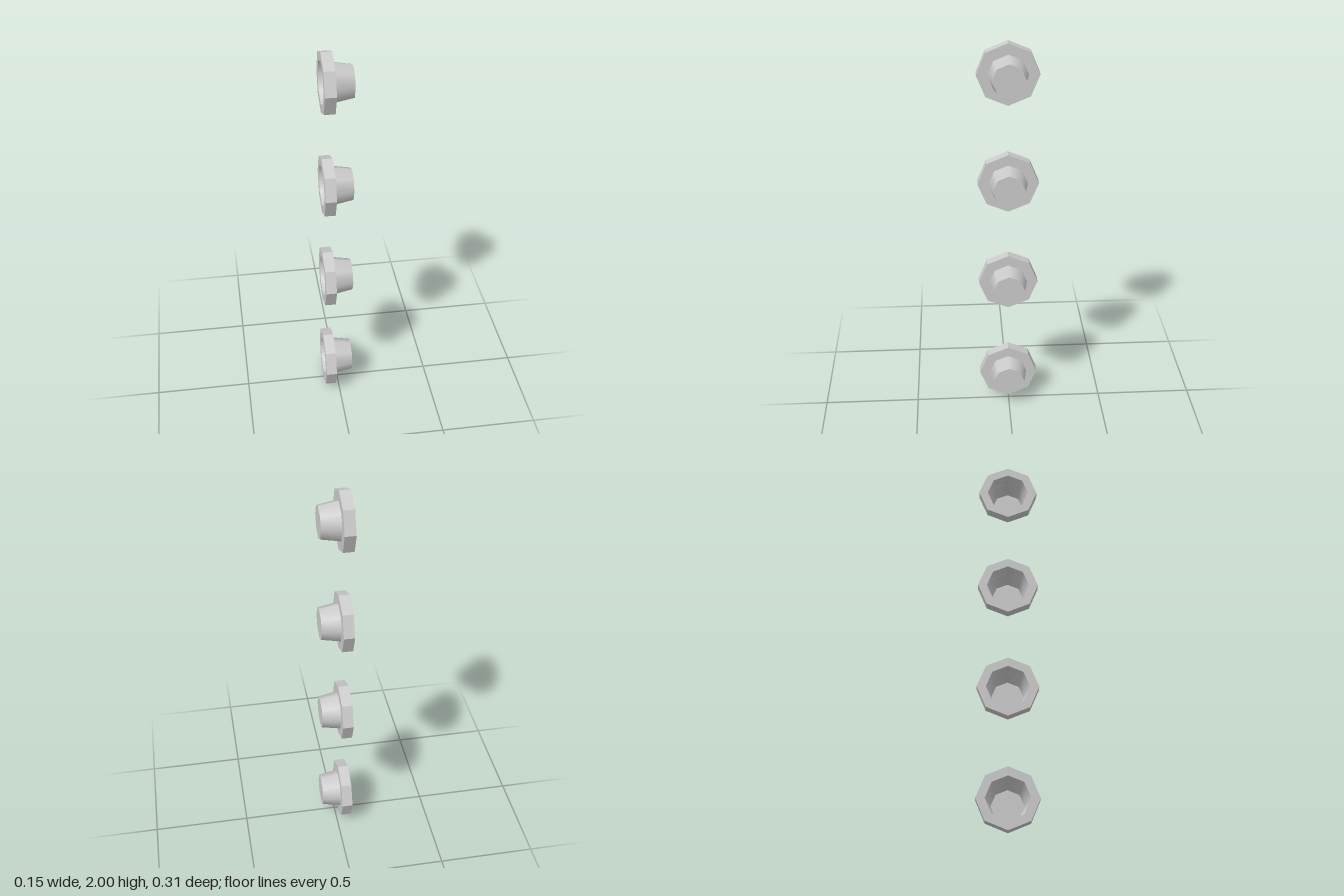
import * as THREE from 'three';

const SIDES = 8;
const BACK = -0.076, STEP = -0.021, TIP = 0.075; // positions along x
const FLANGE_R = 0.154, MOUTH_R = 0.109, COLLAR_R = 0.099, TIP_R = 0.082;

export function createModel() {
  const group = new THREE.Group();
  group.name = 'flangedCups';

  const flat = new THREE.MeshStandardMaterial({ color: 0xcccccc, flatShading: true, side: THREE.DoubleSide });
  const smooth = new THREE.MeshStandardMaterial({ color: 0xcccccc, side: THREE.DoubleSide });

  // Octagonal flange: back ring, rim and front ring
  const profile = [[MOUTH_R, BACK], [FLANGE_R, BACK], [FLANGE_R, STEP], [COLLAR_R, STEP]]
    .map(([r, h]) => new THREE.Vector2(r, h));
  const flangeGeo = new THREE.LatheGeometry(profile, SIDES).rotateZ(-Math.PI / 2);

  // Hollow tapered wall, open at the back
  const wallGeo = new THREE.CylinderGeometry(TIP_R, MOUTH_R, TIP - BACK, SIDES, 1, true)
    .rotateZ(-Math.PI / 2)
    .translate((TIP + BACK) / 2, 0, 0);

  // Flat end closing the cup
  const endGeo = new THREE.CircleGeometry(TIP_R, SIDES).rotateY(Math.PI / 2).translate(TIP, 0, 0);

  const add = (parent, name, geometry, material) => {
    const mesh = new THREE.Mesh(geometry, material);
    mesh.name = name;
    parent.add(mesh);
  };

  // Four identical cups in a vertical row
  for (let i = 0; i < 4; i++) {
    const cup = new THREE.Group();
    cup.name = `cup${i + 1}`;
    cup.position.y = FLANGE_R + i * (2 - 2 * FLANGE_R) / 3;
    add(cup, 'flange', flangeGeo, flat);
    add(cup, 'taperedWall', wallGeo, smooth);
    add(cup, 'endCap', endGeo, flat);
    group.add(cup);
  }
  return group;
}
